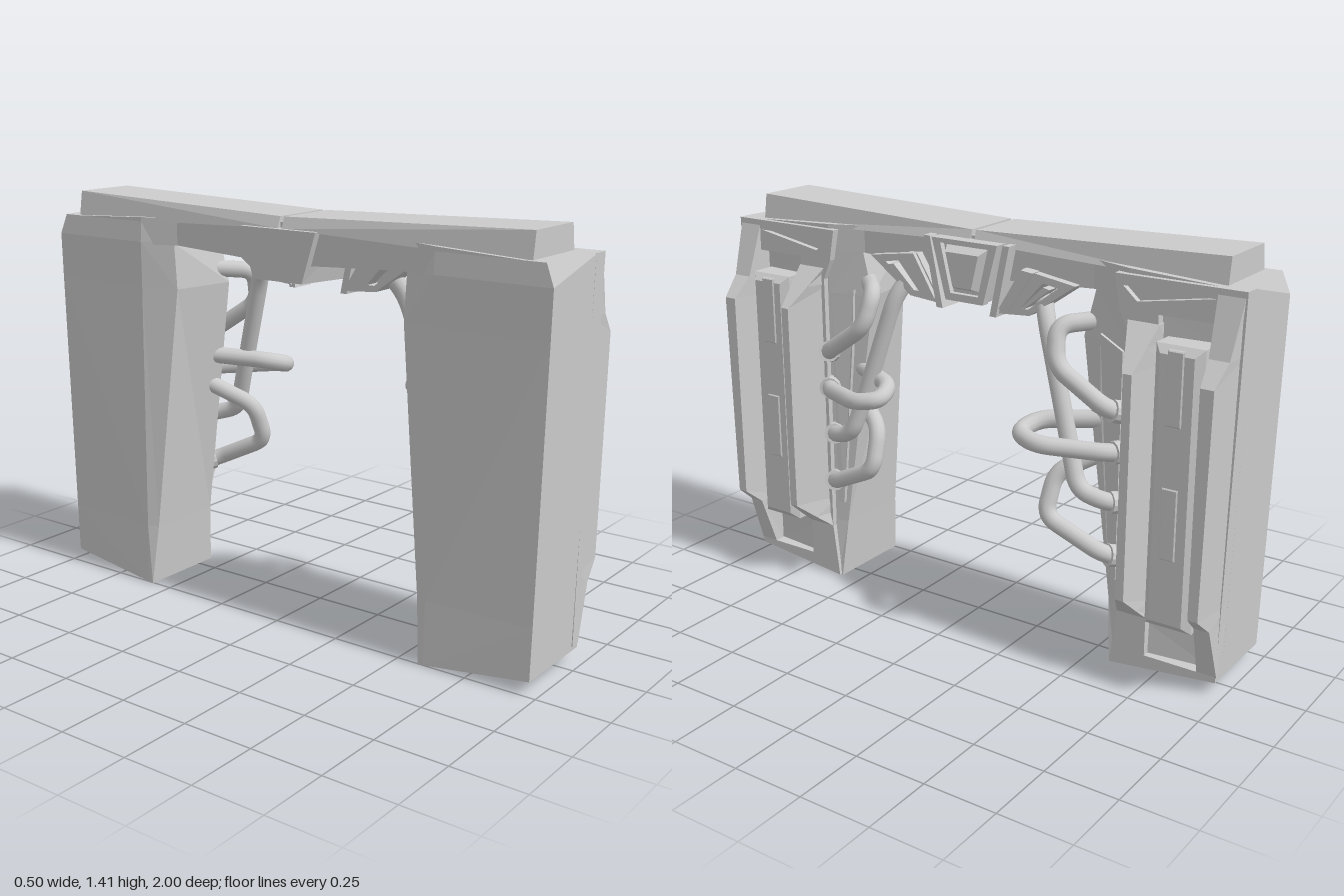
import * as THREE from 'three';

const flat = new THREE.MeshStandardMaterial({ color: 0xcccccc, flatShading: true, side: THREE.DoubleSide });
const smooth = new THREE.MeshStandardMaterial({ color: 0xcccccc });

// Closed solid through loops of [x, y, z] corners, always wound outwards
function loft(loops) {
  const n = loops[0].length, tris = [];
  const quad = (a, b, c, d) => tris.push([a, b, c], [a, c, d]);
  for (let i = 0; i + 1 < loops.length; i++) {
    for (let j = 0; j < n; j++) {
      const k = (j + 1) % n;
      quad(loops[i][j], loops[i][k], loops[i + 1][k], loops[i + 1][j]);
    }
  }
  const last = loops[loops.length - 1];
  for (let j = 1; j + 1 < n; j++) {
    tris.push([loops[0][0], loops[0][j + 1], loops[0][j]], [last[0], last[j], last[j + 1]]);
  }
  let volume = 0;
  const [a, b, c] = [0, 1, 2].map(() => new THREE.Vector3());
  for (const t of tris) volume += a.fromArray(t[0]).dot(b.fromArray(t[1]).cross(c.fromArray(t[2])));
  if (volume < 0) tris.forEach(t => t.reverse());
  const geo = new THREE.BufferGeometry();
  geo.setAttribute('position', new THREE.Float32BufferAttribute(tris.flat(2), 3));
  geo.computeVertexNormals();
  return geo;
}

// Plate drawn as [z, y] outline with holes, from x = front backwards by depth
function plate(outline, holes, front, depth, s) {
  const pts = list => list.map(([z, y]) => new THREE.Vector2(z * s, y));
  const shape = new THREE.Shape(pts(outline));
  for (const h of holes) shape.holes.push(new THREE.Path(pts(h)));
  const geo = new THREE.ExtrudeGeometry(shape, { depth, bevelEnabled: false });
  return geo.rotateY(-Math.PI / 2).translate(front, 0, 0);
}

// Pipe along straight runs with rounded corners
function pipe(points, r) {
  const v = points.map(p => new THREE.Vector3(...p)), path = new THREE.CurvePath();
  let from = v[0];
  for (let i = 1; i + 1 < v.length; i++) {
    const toward = q => v[i].clone().add(q.clone().sub(v[i]).setLength(Math.min(0.05, q.distanceTo(v[i]) * 0.45)));
    const start = toward(v[i - 1]), end = toward(v[i + 1]);
    path.add(new THREE.LineCurve3(from, start));
    path.add(new THREE.QuadraticBezierCurve3(start, v[i], end));
    from = end;
  }
  path.add(new THREE.LineCurve3(from, v[v.length - 1]));
  return new THREE.TubeGeometry(path, 60, r, 12);
}

export function createModel() {
  const model = new THREE.Group();
  const add = (parent, name, geo, mat = flat) => {
    const mesh = new THREE.Mesh(geo, mat);
    mesh.name = name;
    parent.add(mesh);
    return mesh;
  };
  const rect = (x0, x1, y0, y1, z) => [[x0, y0, z], [x1, y0, z], [x1, y1, z], [x0, y1, z]];

  for (const s of [1, -1]) {
    const half = new THREE.Group();
    half.name = s > 0 ? 'frontHalf' : 'backHalf';
    model.add(half);
    const solid = (name, loops) => add(half, name, loft(loops.map(l => l.map(([x, y, z]) => [x, y, z * s]))));

    // Leg core, from the foot up, with a slanted inner side
    solid('leg', [
      [[-0.24, 0.045, 0.972], [0.03, 0.045, 0.972], [0.07, 0.005, 0.6], [0.07, 0, 0.58], [-0.255, 0, 0.58], [-0.255, 0.003, 0.6]],
      [[-0.24, 0.22, 0.976], [0.03, 0.22, 0.976], [0.06, 0.22, 0.61], [0.05, 0.22, 0.56], [-0.235, 0.22, 0.56], [-0.25, 0.22, 0.6]],
      [[-0.24, 1.1, 0.995], [0.03, 1.1, 0.995], [0.06, 1.1, 0.61], [0.03, 1.1, 0.43], [-0.2, 1.1, 0.47], [-0.24, 1.1, 0.6]],
      [[-0.24, 1.26, 0.998], [0.03, 1.26, 0.998], [0.06, 1.26, 0.6], [0.03, 1.26, 0.47], [-0.2, 1.26, 0.48], [-0.24, 1.26, 0.6]],
      [[-0.235, 1.33, 0.97], [0.03, 1.33, 1], [0.06, 1.33, 0.6], [0.03, 1.33, 0.47], [-0.2, 1.33, 0.48], [-0.235, 1.33, 0.6]],
    ]);

    // Face plate with a tall slot and a wedge slot above it
    add(half, 'legFacePlate', plate(
      [[0.972, 0.045], [1, 1.33], [0.56, 1.33], [0.58, 1.22], [0.61, 1.15], [0.61, 0.2], [0.585, 0.004]],
      [[[0.91, 0.065], [0.715, 0.065], [0.715, 1.22], [0.91, 1.22]], [[0.9, 1.295], [0.59, 1.295], [0.64, 1.25]]],
      0.08, 0.06, s));

    // Tall fins on both sides of the slot
    const finRows = [[0.06, 0.078], [0.25, 0.14], [0.31, 0.21], [1.06, 0.21], [1.13, 0.14], [1.31, 0.08]];
    for (const [name, b0, f0, f1, b1] of [['outerFin', 0.905, 0.925, 0.955, 0.975], ['innerFin', 0.72, 0.7, 0.67, 0.61]]) {
      const rows = name === 'outerFin' ? finRows : [[0.2, 0.08], ...finRows.slice(1, 5), [1.19, 0.08]];
      solid(name, rows.map(([y, x]) => {
        const t = Math.max(0, (x - 0.08) / 0.13);
        const mix = (p, q) => p + (q - p) * t;
        const lean = name === 'outerFin' ? (y - 0.05) * 0.015 : 0;
        return [[0.04, y, b0], [x, y, mix(b0, f0)], [x, y, mix(b1, f1) + lean], [0.04, y, b1 + lean]];
      }));
    }

    // Bevelled centre block with two cover strips
    const panel = (name, z0, z1, y0, y1, x0, x1, bevel) => solid(name, [
      [[x0, y0, z0], [x0, y1, z0], [x0, y1, z1], [x0, y0, z1]],
      [[x1 - bevel, y0, z0], [x1 - bevel, y1, z0], [x1 - bevel, y1, z1], [x1 - bevel, y0, z1]],
      [[x1, y0 + bevel, z0 + bevel], [x1, y1 - bevel, z0 + bevel], [x1, y1 - bevel, z1 - bevel], [x1, y0 + bevel, z1 - bevel]],
    ]);
    panel('centreBlock', 0.735, 0.9, 0.215, 1.15, 0.03, 0.15, 0.025);
    for (const y of [0.46, 0.9]) panel('coverStrip', 0.787, 0.842, y, y + 0.24, 0.14, 0.154, 0.004);

    // Slanted panel on the inner corner
    const chamfer = dx => [[0.052 + dx, 0.3, 0.565], [0.055 + dx, 0.3, 0.59], [0.056 + dx, 1.08, 0.59], [0.04 + dx, 1.12, 0.5], [0.045 + dx, 0.9, 0.51]];
    solid('innerCornerPanel', [chamfer(-0.02), chamfer(0.012)]);

    // Pipes from the inner corner, each with a collar
    const pipes = [
      [[0.03, 0.87, 0.62], [0.12, 0.9, 0.57], [0.14, 1.02, 0.39], [0.1, 1.14, 0.37], [0.0, 1.15, 0.47]],
      [[0.03, 0.75, 0.62], [0.11, 0.755, 0.58], [0.22, 0.775, 0.37], [0.19, 0.79, 0.28], [0.1, 0.815, 0.31], [0.0, 0.83, 0.53]],
      [[0.03, 0.57, 0.62], [0.1, 0.58, 0.57], [0.12, 0.61, 0.47], [0.1, 0.73, 0.43], [0.06, 1.12, 0.31], [0.02, 1.2, 0.27]],
      [[0.03, 0.38, 0.62], [0.11, 0.4, 0.57], [0.14, 0.5, 0.36], [0.09, 0.64, 0.37], [0.0, 0.73, 0.53]],
    ];
    for (const p of pipes) {
      const pts = p.map(([x, y, z]) => [x, y, z * s]);
      add(half, 'pipe', pipe(pts, 0.03), smooth);
      const collar = add(half, 'pipeCollar', new THREE.CylinderGeometry(0.038, 0.038, 0.05, 12), flat);
      const a = new THREE.Vector3(...pts[0]), b = new THREE.Vector3(...pts[1]);
      collar.position.copy(a).lerp(b, 0.6);
      collar.quaternion.setFromUnitVectors(new THREE.Vector3(0, 1, 0), b.sub(a).normalize());
    }

    // Crossbeam half and its top rail
    solid('crossbeam', [
      rect(-0.235, 0.06, 1.25, 1.33, 0.9), rect(-0.235, 0.06, 1.25, 1.345, 0.6),
      rect(-0.205, 0.03, 1.255, 1.35, 0.46), rect(-0.205, 0.03, 1.23, 1.37, 0),
    ]);
    const rail = (y0, y1, z) => [[-0.22, y0, z], [0.04, y0, z], [0.025, y1, z], [-0.205, y1, z]];
    solid('topRail', [rail(1.32, 1.415, 0.918), rail(1.35, 1.388, 0.008)]);

    // Slanted clamp frame beside the keystone
    add(half, 'clampFrame', plate(
      [[0.41, 1.26], [0.21, 1.29], [0.11, 1.13], [0.24, 1.14]],
      [[[0.345, 1.245], [0.29, 1.255], [0.205, 1.16], [0.235, 1.16]]], 0.06, 0.08, s));
    add(half, 'clampBar', plate([[0.325, 1.24], [0.3, 1.245], [0.215, 1.165], [0.23, 1.165]], [], 0.075, 0.06, s));
    add(half, 'clampRib', plate([[0.26, 1.285], [0.215, 1.29], [0.13, 1.15], [0.165, 1.145]], [], 0.075, 0.06, s));
    add(half, 'keystoneFin', plate([[0.17, 1.36], [0.145, 1.36], [0.095, 1.12], [0.12, 1.12]], [], 0.075, 0.09, s));
  }

  // Keystone wrapped around the middle of the beam
  const keystone = new THREE.Group();
  keystone.name = 'keystone';
  model.add(keystone);
  const slab = (x, w0, w1, y0, y1) => [[x, y0, -w0], [x, y0, w0], [x, y1, w1], [x, y1, -w1]];
  add(keystone, 'keystoneCore', loft([slab(-0.235, 0.1, 0.155, 1.18, 1.35), slab(0.065, 0.075, 0.13, 1.16, 1.36)]));
  add(keystone, 'keystoneFrame', plate(
    [[-0.13, 1.36], [0.13, 1.36], [0.075, 1.155], [-0.075, 1.155]],
    [[[-0.095, 1.345], [0.095, 1.345], [0.055, 1.18], [-0.055, 1.18]]], 0.085, 0.03, 1));
  add(keystone, 'keystonePanel', loft([slab(0.06, 0.05, 0.085, 1.19, 1.34), slab(0.098, 0.037, 0.065, 1.205, 1.32)]));
  return model;
}
